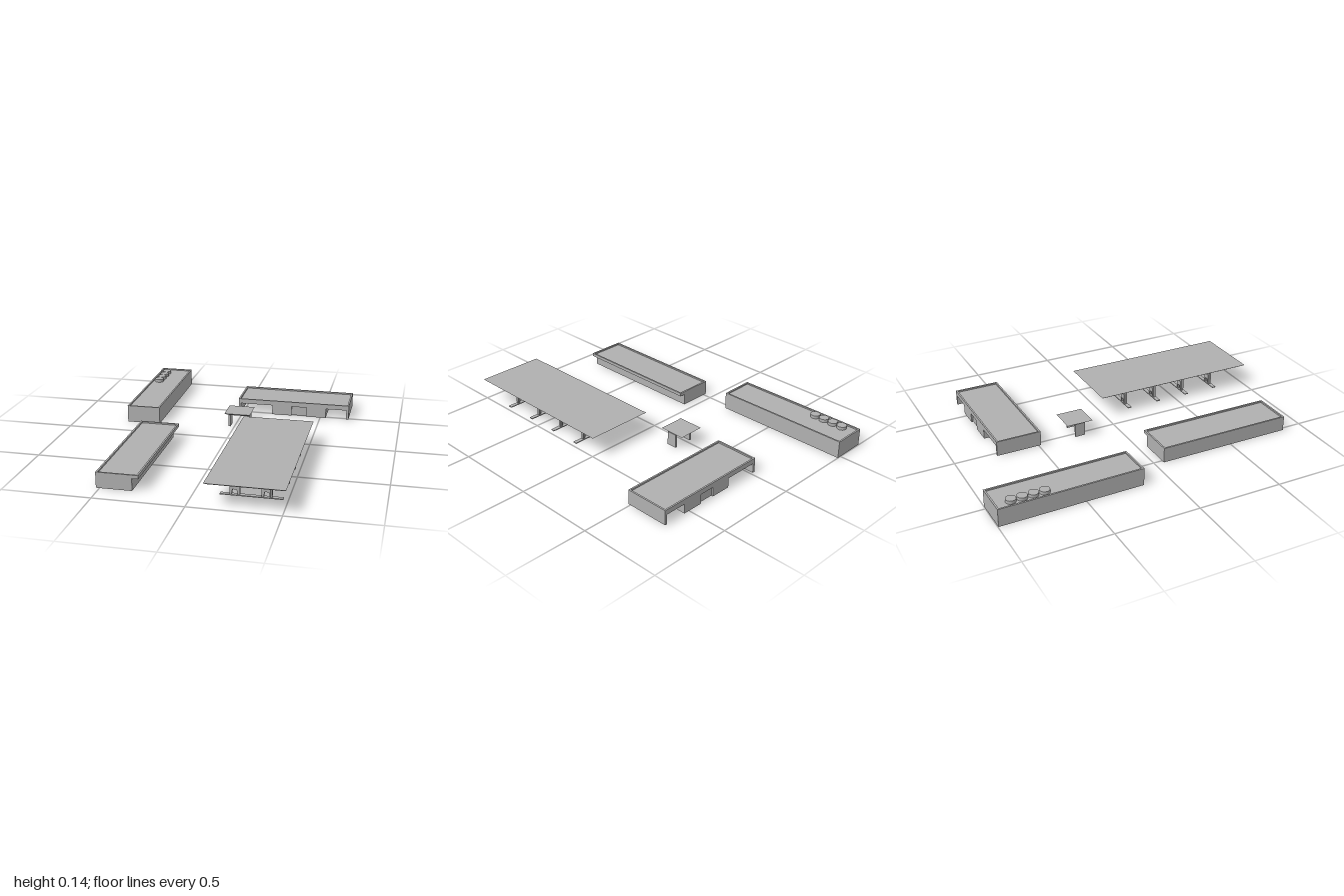
import * as THREE from 'three';

const concrete = new THREE.MeshStandardMaterial({ color: 0xb0b0b0, side: THREE.DoubleSide });
concrete.name = 'concrete grey';

function add(parent, name, geometry, x = 0, y = 0, z = 0) {
  const mesh = new THREE.Mesh(geometry, concrete);
  mesh.name = name;
  mesh.position.set(x, y, z);
  parent.add(mesh);
  return mesh;
}

// Box given by its limits on each axis
function block(parent, name, x0, x1, y0, y1, z0, z1) {
  return add(parent, name, new THREE.BoxGeometry(x1 - x0, y1 - y0, z1 - z0),
    (x0 + x1) / 2, (y0 + y1) / 2, (z0 + z1) / 2);
}

function outline(points) {
  return new THREE.Shape(points.map(([x, y]) => new THREE.Vector2(x, y)));
}

// Upright rectangular ring of walls, open above and below
function wallRing(parent, name, x0, x1, y0, y1, z0, z1, t = 0.01) {
  const rect = (i) => [[x0 + i, -z0 - i], [x0 + i, -z1 + i], [x1 - i, -z1 + i], [x1 - i, -z0 - i]];
  const shape = outline(rect(0));
  shape.holes.push(outline(rect(t).reverse()));
  const geometry = new THREE.ExtrudeGeometry(shape, { depth: y1 - y0, bevelEnabled: false });
  geometry.rotateX(-Math.PI / 2);
  return add(parent, name, geometry, 0, y0, 0);
}

// Flat slab whose underside is smaller than its top
function taperedSlab(parent, name, x0, x1, y0, y1, z0, z1, inset) {
  const mesh = block(parent, name, x0, x1, y0, y1, z0, z1);
  const p = mesh.geometry.attributes.position;
  for (let i = 0; i < p.count; i++) {
    if (p.getY(i) > 0) continue;
    p.setX(i, p.getX(i) - Math.sign(p.getX(i)) * inset);
    p.setZ(i, p.getZ(i) - Math.sign(p.getZ(i)) * inset);
  }
  mesh.geometry.computeVertexNormals();
  return mesh;
}

function group(parent, name) {
  const g = new THREE.Group();
  g.name = name;
  parent.add(g);
  return g;
}

// Long hall, slightly turned, with a row of round roof vents
function buildHall(root) {
  const hall = group(root, 'longHall');
  hall.position.set(-0.575, 0, -0.577);
  hall.rotation.y = 0.011;
  wallRing(hall, 'hallWalls', -0.103, 0.103, 0, 0.105, -0.421, 0.421);
  block(hall, 'hallRoof', -0.094, 0.094, 0.088, 0.097, -0.412, 0.412);
  for (let i = 0; i < 4; i++) {
    add(root, 'roofVent', new THREE.CylinderGeometry(0.029, 0.029, 0.02, 24), -0.63, 0.106, -0.905 + i * 0.0627);
  }
}

// Side building with an overhanging eave along one long side
function buildSideBuilding(root) {
  const side = group(root, 'sideBuilding');
  wallRing(side, 'sideWalls', -0.52, -0.32, 0, 0.076, 0.055, 0.87);
  wallRing(side, 'sideParapet', -0.52, -0.285, 0.07, 0.09, 0.055, 0.87);
  block(side, 'sideRoof', -0.511, -0.294, 0.071, 0.081, 0.064, 0.861);
}

// Bridge-like building: roof band on end walls and a closed core
function buildGatehouse(root) {
  const gate = group(root, 'gatehouse');
  const x0 = -0.03, x1 = 0.68, z0 = -0.755, z1 = -0.485;
  wallRing(gate, 'roofBand', x0, x1, 0.06, 0.09, z0, z1);
  block(gate, 'gatehouseRoof', x0 + 0.009, x1 - 0.009, 0.071, 0.081, z0 + 0.009, z1 - 0.009);
  block(gate, 'endWall', x0, x0 + 0.015, 0, 0.061, z0, z1);
  block(gate, 'endWall', x1 - 0.015, x1, 0, 0.061, z0, z1);
  for (const x of [0.19, 0.525]) block(gate, 'coreSideWall', x, x + 0.01, 0, 0.072, z0 + 0.003, z1 - 0.003);
  // Front and back core walls, each with a recessed door
  for (const z of [z0 + 0.001, z1 - 0.011]) {
    const wall = outline([[0.19, 0], [0.315, 0], [0.315, 0.06], [0.41, 0.06], [0.41, 0], [0.535, 0], [0.535, 0.07], [0.19, 0.07]]);
    add(gate, 'coreWall', new THREE.ExtrudeGeometry(wall, { depth: 0.01, bevelEnabled: false }), 0, 0, z);
    const inward = z < -0.6 ? 0.012 : -0.008;
    block(gate, 'door', 0.313, 0.412, 0, 0.062, z + inward, z + inward + 0.006);
  }
}

// Small shelter: tapered roof on two wall panels
function buildKiosk(root) {
  const kiosk = group(root, 'kiosk');
  taperedSlab(kiosk, 'kioskRoof', -0.055, 0.105, 0.08, 0.095, -0.325, -0.165, 0.024);
  for (const x of [-0.036, 0.084]) block(kiosk, 'kioskLeg', x, x + 0.012, 0, 0.084, -0.267, -0.205);
}

// Large canopy on four rows of paired arched pillars
function buildCanopy(root) {
  const canopy = group(root, 'canopy');
  taperedSlab(canopy, 'canopyRoof', 0.095, 0.515, 0.129, 0.137, -0.025, 0.998, 0.012);
  const pillar = new THREE.Shape();
  pillar.moveTo(-0.028, 0);
  pillar.lineTo(-0.018, 0);
  pillar.lineTo(-0.011, 0.035);
  pillar.lineTo(0.011, 0.035);
  pillar.lineTo(0.018, 0);
  pillar.lineTo(0.028, 0);
  pillar.lineTo(0.028, 0.115);
  pillar.quadraticCurveTo(0.027, 0.129, 0.014, 0.131);
  pillar.lineTo(-0.014, 0.131);
  pillar.quadraticCurveTo(-0.027, 0.129, -0.028, 0.115);
  const pillarGeometry = new THREE.ExtrudeGeometry(pillar, { depth: 0.014, bevelEnabled: false, curveSegments: 6 });
  // Raised frame around the foot opening
  const foot = outline([[-0.02, 0], [-0.018, 0], [-0.011, 0.035], [0.011, 0.035], [0.018, 0], [0.02, 0], [0.02, 0.065], [-0.02, 0.065]]);
  const footGeometry = new THREE.ExtrudeGeometry(foot, { depth: 0.022, bevelEnabled: false });
  for (const z of [0.185, 0.388, 0.593, 0.8]) {
    block(canopy, 'groundStrip', 0.137, 0.473, 0, 0.005, z - 0.012, z + 0.012);
    for (const x of [0.217, 0.387]) {
      add(canopy, 'pillar', pillarGeometry, x, 0, z - 0.007);
      add(canopy, 'pillarFoot', footGeometry, x, 0, z - 0.011);
    }
  }
}

export function createModel() {
  const root = new THREE.Group();
  root.name = 'stationComplex';
  buildHall(root);
  buildSideBuilding(root);
  buildGatehouse(root);
  buildKiosk(root);
  buildCanopy(root);
  return root;
}
